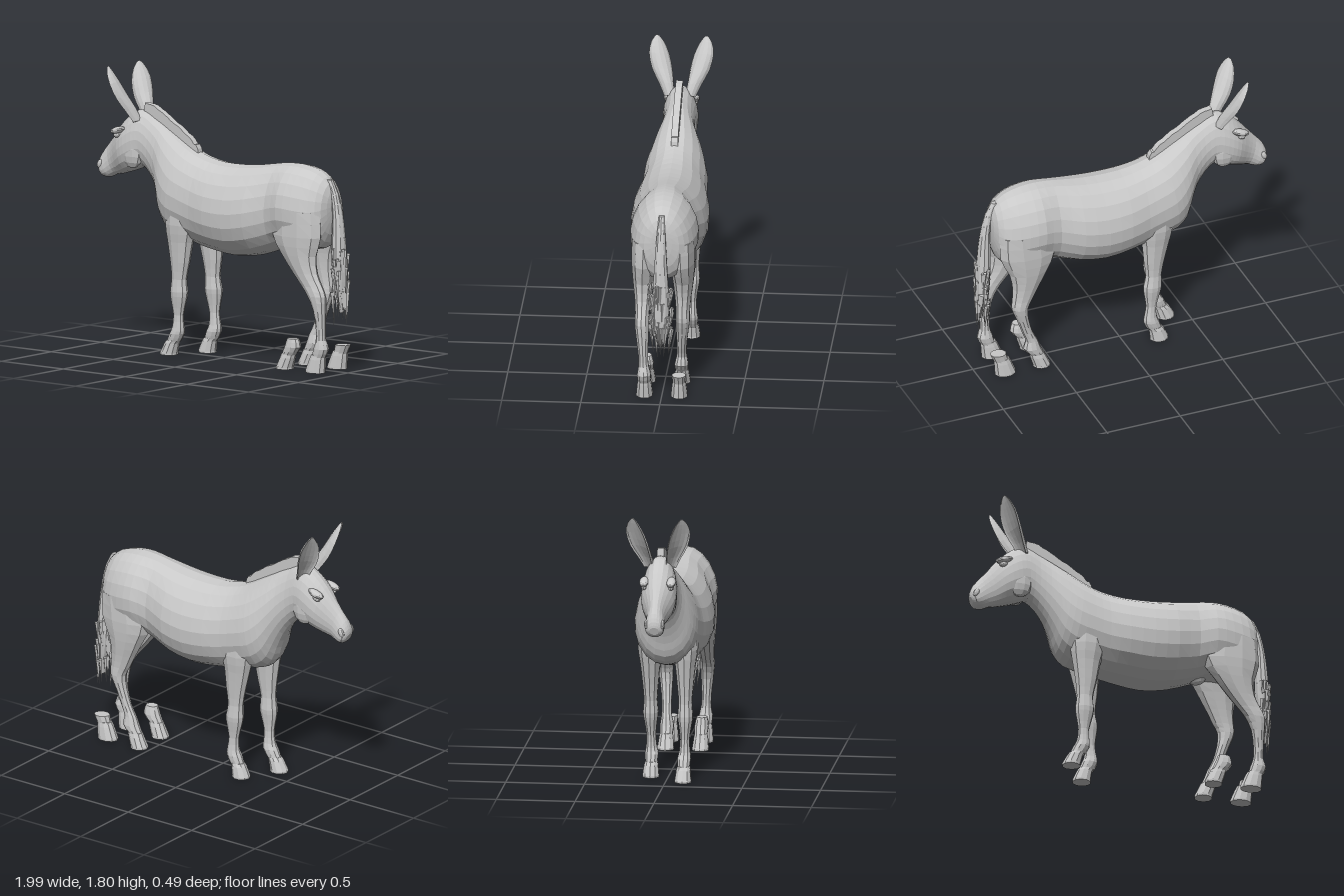
import * as THREE from 'three';

const coat = new THREE.MeshStandardMaterial({ color: 0xc8c8c8, flatShading: true });
coat.name = 'grey coat';

// Seeded random numbers for the ragged hair
let seed = 7;
const rand = () => (seed = (seed * 16807) % 2147483647) / 2147483647;

// Catmull-Rom interpolation of every column in a table of cross-sections
function smooth(rows, steps) {
  const out = [];
  for (let i = 0; i < rows.length - 1; i++) {
    const a = rows[Math.max(i - 1, 0)], b = rows[i], c = rows[i + 1];
    const d = rows[Math.min(i + 2, rows.length - 1)];
    for (let k = 0; k < steps; k++) {
      const t = k / steps;
      out.push(b.map((v, j) => {
        const cubic = 3 * (v - c[j]) + d[j] - a[j];
        const square = 2 * a[j] - 5 * v + 4 * c[j] - d[j];
        return v + 0.5 * t * (c[j] - a[j] + t * (square + t * cubic));
      }));
    }
  }
  out.push(rows[rows.length - 1]);
  return out;
}

// Closed skin over rings of points, turned so its faces look outwards
function loft(rings) {
  const n = rings[0].length, pts = rings.flat(), index = [];
  for (let r = 0; r < rings.length - 1; r++) {
    for (let i = 0; i < n; i++) {
      const a = r * n + i, b = r * n + (i + 1) % n;
      index.push(a, b, a + n, b, b + n, a + n);
    }
  }
  [0, rings.length - 1].forEach((r, end) => {
    const mid = new THREE.Vector3();
    rings[r].forEach(p => mid.addScaledVector(p, 1 / n));
    pts.push(mid);
    for (let i = 0; i < n; i++) {
      const a = r * n + i, b = r * n + (i + 1) % n;
      index.push(pts.length - 1, ...(end ? [a, b] : [b, a]));
    }
  });
  let volume = 0;
  const v = new THREE.Vector3();
  for (let i = 0; i < index.length; i += 3) {
    volume += pts[index[i]].dot(v.crossVectors(pts[index[i + 1]], pts[index[i + 2]]));
  }
  if (volume < 0) index.reverse();
  const g = new THREE.BufferGeometry().setFromPoints(pts);
  g.setIndex(index);
  g.computeVertexNormals();
  return g;
}

const ringOf = (n, f) => Array.from({ length: n }, (_, i) => f(i / n * Math.PI * 2));

// Level limb sections: [front x, back x, y, centre z, half width]
function limb(rows, side, n = 10, steps = 2) {
  return loft(smooth(rows, steps).map(([f, b, y, z, w]) => ringOf(n, a =>
    new THREE.Vector3((f + b) / 2 + (b - f) / 2 * Math.cos(a), y, side * z + w * Math.sin(a)))));
}

// Torso, neck and head: [top x, top y, bottom x, bottom y, half width]
const BODY = [
  [.89, 1.12, .885, .98, .03], [.865, 1.2, .87, .87, .11], [.79, 1.265, .82, .78, .17],
  [.68, 1.295, .70, .77, .205], [.58, 1.3, .58, .78, .213], [.47, 1.29, .47, .74, .19],
  [.32, 1.265, .32, .69, .23], [.17, 1.25, .15, .665, .244], [0, 1.25, 0, .68, .235],
  [-.12, 1.27, -.13, .70, .212], [-.2, 1.295, -.25, .73, .205], [-.27, 1.33, -.36, .755, .2],
  [-.34, 1.37, -.43, .82, .18], [-.42, 1.415, -.46, .91, .15], [-.48, 1.45, -.50, 1.01, .118],
  [-.55, 1.485, -.56, 1.1, .1], [-.62, 1.52, -.625, 1.155, .1], [-.69, 1.515, -.665, 1.145, .108],
  [-.76, 1.47, -.72, 1.125, .11], [-.82, 1.41, -.77, 1.11, .1], [-.88, 1.335, -.82, 1.095, .073],
  [-.93, 1.275, -.87, 1.085, .056], [-.975, 1.22, -.915, 1.065, .06], [-.997, 1.17, -.955, 1.065, .055],
  [-1, 1.135, -.98, 1.085, .03],
];

const FORELEG = [
  [-.36, -.13, .98, .11, .08], [-.37, -.14, .84, .115, .08], [-.355, -.17, .73, .115, .065],
  [-.335, -.195, .6, .115, .052], [-.325, -.22, .49, .115, .043], [-.335, -.212, .41, .115, .05],
  [-.33, -.222, .35, .115, .042], [-.315, -.245, .26, .113, .03], [-.325, -.24, .18, .112, .036],
  [-.345, -.242, .14, .11, .044], [-.368, -.27, .09, .11, .038],
];
const FOREHOOF = [[-.37, -.27, .095, .11, .04], [-.385, -.285, .075, .11, .046], [-.42, -.3, .012, .11, .054], [-.42, -.3, 0, .11, .054]];

// Hind limb standing back and hind limb stepping forward
const HIND_BACK = [
  [.52, .86, 1.02, .115, .085], [.49, .875, .86, .12, .083], [.57, .84, .74, .125, .068],
  [.66, .85, .63, .125, .053], [.73, .89, .55, .125, .045], [.78, .915, .49, .125, .046],
  [.825, .91, .4, .12, .04], [.84, .905, .28, .115, .031],
];
const HIND_FORWARD = [
  [.52, .86, 1.02, .115, .085], [.48, .86, .86, .12, .083], [.54, .8, .73, .125, .068],
  [.6, .78, .62, .125, .053], [.645, .785, .53, .125, .045], [.675, .785, .47, .125, .046],
  [.67, .75, .38, .12, .039], [.64, .71, .27, .115, .031],
];
const PASTERN_BACK = [[.838, .905, .21, .112, .034], [.82, .925, .155, .11, .045], [.805, .9, .1, .11, .04]];
const PASTERN_FORWARD = [[.605, .685, .2, .112, .034], [.585, .7, .145, .11, .045], [.56, .655, .09, .11, .04]];
const HOOF_BACK = [[.8, .9, .115, .11, .04], [.785, .9, .085, .11, .046], [.755, .895, .012, .11, .054], [.755, .895, 0, .11, .054]];
const HOOF_FORWARD = [[.56, .66, .1, .11, .04], [.55, .655, .075, .11, .046], [.52, .635, .012, .11, .054], [.52, .635, 0, .11, .054]];

// Cupped ear: [x, y, z, half width, depth]
const EAR = [
  [-.655, 1.45, .06, .035, .04], [-.69, 1.52, .082, .047, .05], [-.735, 1.6, .11, .067, .052],
  [-.775, 1.69, .134, .068, .042], [-.805, 1.76, .148, .042, .025], [-.818, 1.797, .154, .01, .008],
];
function ear(side) {
  const turn = 0.45;
  return loft(smooth(EAR, 2).map(([x, y, z, w, d]) => ringOf(14, a => {
    const u = w * Math.cos(a), s = Math.sin(a);
    const v = (s > 0 ? d * s : d * 0.45 * -s) * 1.2 - d * 0.5;   // outer back, hollow front
    const out = u * Math.cos(turn) - v * Math.sin(turn);
    const back = u * Math.sin(turn) + v * Math.cos(turn);
    return new THREE.Vector3(x + back * 0.9, y + back * 0.4, side * (z + out));
  })));
}

export function createModel() {
  const model = new THREE.Group();
  model.name = 'donkey';
  const add = (name, geometry) => {
    const mesh = new THREE.Mesh(geometry, coat);
    mesh.name = name;
    model.add(mesh);
    return mesh;
  };
  const lump = (name, pos, size, tilt = 0) => {
    const m = add(name, new THREE.SphereGeometry(1, 10, 7));
    m.position.set(...pos);
    m.scale.set(...size);
    m.rotation.z = tilt;
  };

  add('body', loft(smooth(BODY, 2).map(([tx, ty, bx, by, w]) => ringOf(20, a => {
    const t = (1 + Math.cos(a)) / 2;
    return new THREE.Vector3(bx + (tx - bx) * t, by + (ty - by) * t,
      w * Math.sin(a) * (1.01 - 0.1 * Math.cos(a)));
  }))));
  lump('sheath', [.5, .765, 0], [.06, .035, .035], 0.3);

  for (const side of [1, -1]) {
    const label = side > 0 ? 'left' : 'right';
    add(label + 'Ear', ear(side));
    lump(label + 'Brow', [-.795, 1.385, side * .086], [.06, .022, .03], 0.3);
    lump(label + 'Eye', [-.8, 1.355, side * .085], [.028, .018, .02], 0.3);
    lump(label + 'Cheek', [-.69, 1.25, side * .07], [.085, .1, .04]);
    lump(label + 'Nostril', [-.968, 1.15, side * .05], [.02, .03, .016], -0.4);

    // The right foreleg stands further back than the left
    const shift = rows => side > 0 ? rows : rows.map(([f, b, y, z, w]) => {
      const s = 0.135 - 0.1 * y;
      return [f + s, b + s, y, z, w];
    });
    add(label + 'Foreleg', limb(shift(FORELEG), side));
    add(label + 'ForeHoof', limb(shift(FOREHOOF), side, 10, 1));

    const [leg, pastern] = side > 0 ? [HIND_BACK, PASTERN_BACK] : [HIND_FORWARD, PASTERN_FORWARD];
    add(label + 'HindLeg', limb([...leg, ...pastern], side));
    add(label + 'HindHoof', limb(HOOF_BACK, side, 10, 1));
    add(label + 'ForwardHindHoof', limb(HOOF_FORWARD, side, 10, 1));
    // Loose pastern above the spare hoof on each side
    add(label + 'SparePastern', limb(side > 0 ? PASTERN_FORWARD : PASTERN_BACK.slice(1), side));
  }

  // Upright mane with a ragged upper edge
  const mane = new THREE.Shape();
  mane.moveTo(-.19, 1.265);
  mane.lineTo(-.2, 1.315);
  const crest = new THREE.SplineCurve([[-.215, 1.34], [-.3, 1.41], [-.42, 1.485], [-.52, 1.545], [-.625, 1.578]]
    .map(p => new THREE.Vector2(...p)));
  crest.getPoints(16).forEach(p => mane.lineTo(p.x, p.y - rand() * 0.014));
  mane.lineTo(-.64, 1.49);
  mane.lineTo(-.42, 1.38);
  const maneGeometry = new THREE.ExtrudeGeometry(mane, { depth: .044, bevelEnabled: false });
  maneGeometry.translate(0, 0, -.022);
  add('mane', maneGeometry);

  // Tail core and its hanging locks
  add('tail', limb([
    [.83, .875, 1.22, 0, .018], [.865, .92, 1.13, 0, .026], [.885, .95, 1, 0, .036], [.88, .968, .86, 0, .045],
    [.885, .978, .7, 0, .055], [.9, .98, .58, 0, .055], [.92, .975, .47, 0, .04], [.935, .96, .38, 0, .012],
  ], 1));
  for (let i = 0; i < 44; i++) {
    const a = i * 2.4, y = 0.8 - 0.32 * rand(), length = 0.13 + 0.08 * rand();
    const lock = new THREE.ConeGeometry(.014, length, 4);
    lock.rotateX(Math.PI + 0.12 * Math.sin(a));
    lock.translate(.938 + .037 * Math.cos(a), y - length / 2, (.05 + .015 * rand()) * Math.sin(a));
    add('tailLock', lock);
  }
  return model;
}
